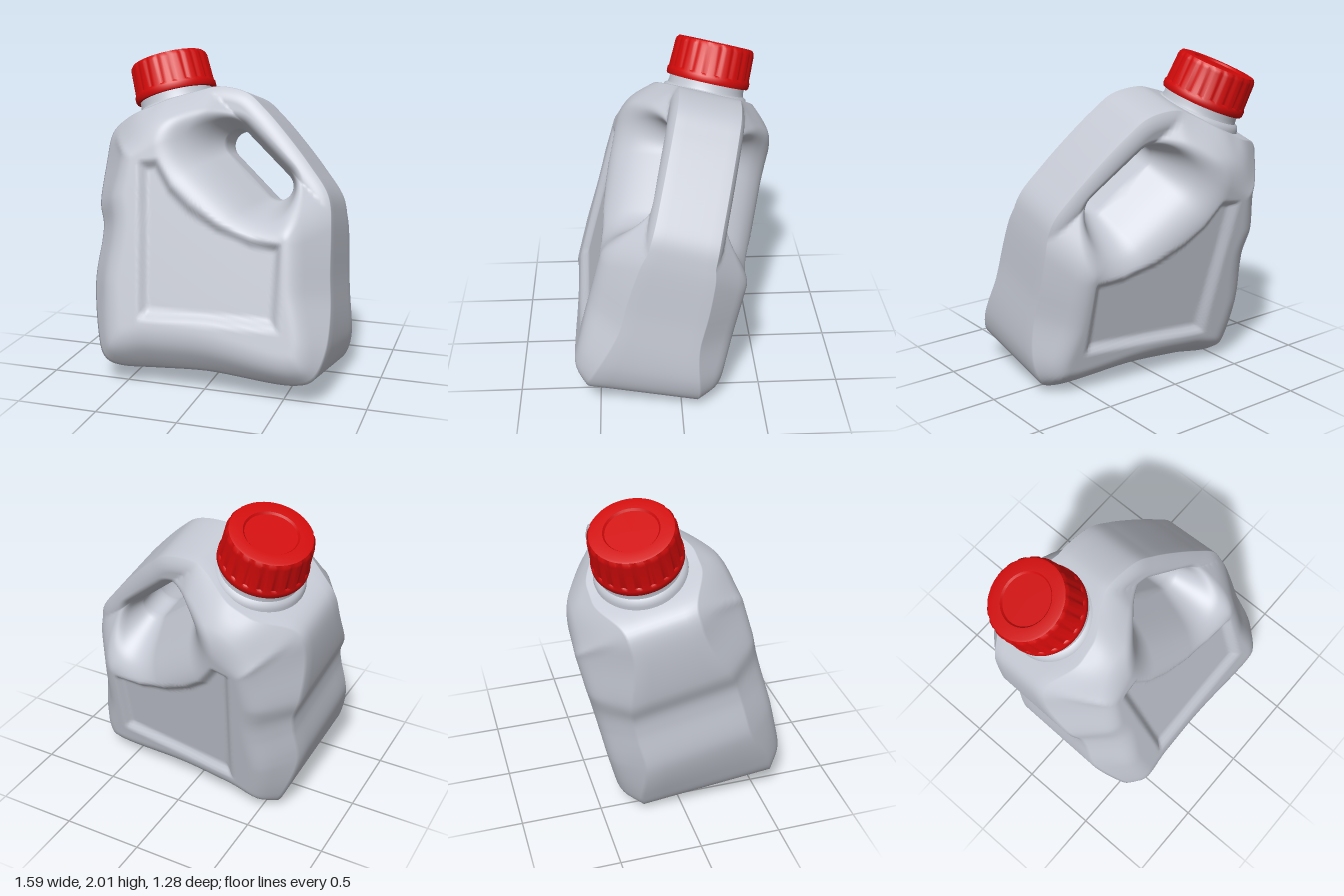
import * as THREE from 'three';
import { toCreasedNormals } from 'three/addons/utils/BufferGeometryUtils.js';

const plastic = new THREE.MeshStandardMaterial({ color: 0xc3c7d1 });
plastic.name = 'pale grey plastic';
const red = new THREE.MeshStandardMaterial({ color: 0xd00a0a });
red.name = 'red plastic';

const V = (x, y) => new THREE.Vector2(x, y);
const { smoothstep, degToRad, clamp } = THREE.MathUtils;

// Side outline of the bottle, clockwise from the lower left
const OUTLINE = [
  [-0.5, 0], [-0.6, 0.04], [-0.67, 0.17], [-0.745, 0.43], [-0.725, 0.7], [-0.728, 0.8],
  [-0.77, 0.94], [-0.775, 1.34], [-0.73, 1.42], [-0.45, 1.55], [-0.18, 1.67], [-0.08, 1.7],
  [0.12, 1.67], [0.25, 1.57], [0.41, 1.41], [0.56, 1.24], [0.68, 1.08], [0.715, 0.95],
  [0.745, 0.6], [0.77, 0.18], [0.71, 0.04], [0.6, 0], [0.05, 0.02],
];
// Recessed label panel
const PANEL = [[-0.44, 1.2], [-0.36, 0.26], [0.51, 0.27], [0.5, 0.77], [0.3, 0.79],
  [0.1, 0.86], [-0.08, 0.96], [-0.2, 1.06], [-0.31, 1.22]].map(([x, y]) => V(x, y));
// Grip hole: a slanted capsule
const HOLE_A = V(0.06, 1.36), HOLE_B = V(0.345, 1.11), HOLE_R = 0.088;
const HOLE_MID = HOLE_A.clone().lerp(HOLE_B, 0.5);
const NECK = V(-0.45, 1.55);
const MID_Z = 0.21;

function segDist(p, a, b) {
  const dx = b.x - a.x, dy = b.y - a.y;
  const t = clamp(((p.x - a.x) * dx + (p.y - a.y) * dy) / (dx * dx + dy * dy), 0, 1);
  return Math.hypot(p.x - a.x - dx * t, p.y - a.y - dy * t);
}
function loopDist(p, loop) {
  let d = Infinity;
  loop.forEach((a, i) => { d = Math.min(d, segDist(p, a, loop[(i + 1) % loop.length])); });
  return d;
}
function inside(p, loop) {
  let hit = false;
  loop.forEach((a, i) => {
    const b = loop[(i + 1) % loop.length];
    if ((a.y > p.y) !== (b.y > p.y) && p.x < a.x + (b.x - a.x) * (p.y - a.y) / (b.y - a.y)) hit = !hit;
  });
  return hit;
}
const holeDist = (p) => segDist(p, HOLE_A, HOLE_B) - HOLE_R;
function softMin(a, b, k) {
  const h = Math.max(k - Math.abs(a - b), 0) / k;
  return Math.min(a, b) - h * h * k / 4;
}

// Half thickness: flat faces, bevelled rim, slim handle, funnel around the grip, sunken panel
function halfDepth(p, loop) {
  const edge = 0.2 + 0.04 * (1 - smoothstep(p.y, 0.6, 1.2)) + 0.1 * (1 - smoothstep(p.y, 0, 0.5))
    + 0.08 * smoothstep(-p.x, 0.3, 0.65) * (1 - smoothstep(p.y, 0.85, 1.3))
    + 0.12 * (1 - smoothstep(p.distanceTo(NECK), 0.05, 0.36));
  const face = 0.502 - 0.02 * p.y - 0.07 * p.x;
  const handle = 0.23 + Math.max(0, 1.1 * (1.2 - 0.65 * p.x - 0.76 * p.y));
  const grip = Math.max(holeDist(p), 0);
  let h = softMin(face, edge + 1.2 * loopDist(p, loop), 0.06);
  h = softMin(h, handle, 0.08);
  h = softMin(h, softMin(0.09 + 2.4 * grip, 0.22 + 1.15 * grip, 0.06), 0.09);
  if (inside(p, PANEL)) h -= 0.04 * smoothstep(loopDist(p, PANEL), 0, 0.06);
  return h;
}

function bodyGeometry() {
  const N = 220, RINGS = 60, WALL = 6;
  const curve = new THREE.CatmullRomCurve3(OUTLINE.map(([x, y]) => new THREE.Vector3(x, y, 0)), true, 'centripetal');
  const loop = curve.getSpacedPoints(N).slice(0, N).map((p) => V(p.x, p.y));
  const pos = [], index = [];
  let M = 0;
  for (const outer of loop) {
    // Matching point on the edge of the hole
    let lo = 0, hi = 1;
    for (let i = 0; i < 24; i++) {
      const m = (lo + hi) / 2;
      if (holeDist(HOLE_MID.clone().lerp(outer, m)) < 0) lo = m; else hi = m;
    }
    const inner = HOLE_MID.clone().lerp(outer, hi);
    // Front half of the section from the hole outward
    const front = [];
    for (let i = 0; i <= RINGS; i++) {
      const p = inner.clone().lerp(outer, i / RINGS);
      front.push([p.x, p.y, halfDepth(p, loop)]);
    }
    const wall = (q, dir) => Array.from({ length: WALL - 1 }, (_, i) =>
      [q[0], q[1], dir * q[2] * (1 - 2 * (i + 1) / WALL)]);
    const back = front.map(([x, y, z]) => [x, y, -z]).reverse();
    const section = [...front, ...wall(front[RINGS], 1), ...back, ...wall(front[0], -1)];
    M = section.length;
    // The base drops slightly toward the front
    section.forEach(([x, y, z]) => pos.push(x, y - 0.09 * (z + 0.3) * (1 - smoothstep(y, 0, 0.4)), z));
  }
  for (let j = 0; j < N; j++) for (let k = 0; k < M; k++) {
    const j1 = (j + 1) % N, k1 = (k + 1) % M;
    const a = j * M + k, b = j1 * M + k, c = j * M + k1, d = j1 * M + k1;
    index.push(a, b, c, b, d, c);
  }
  const g = new THREE.BufferGeometry();
  g.setAttribute('position', new THREE.Float32BufferAttribute(pos, 3));
  g.setIndex(index);
  g.computeVertexNormals();
  return g;
}

// Screw cap: turned profile with shallow grip grooves cut into the wall
function capGeometry() {
  const g = new THREE.LatheGeometry([
    V(0.2, 0), V(0.26, 0), V(0.266, 0.012), V(0.266, 0.04), V(0.26, 0.05), V(0.259, 0.055),
    V(0.253, 0.215), V(0.249, 0.23), V(0.238, 0.245), V(0.225, 0.248), V(0.16, 0.248),
    V(0.15, 0.236), V(0.0001, 0.236),
  ], 120);
  const p = g.attributes.position;
  for (let i = 0; i < p.count; i++) {
    const y = p.getY(i), column = Math.floor(i / 13) % 120;
    if (y > 0.052 && y < 0.232 && column % 6 < 2) {
      p.setX(i, p.getX(i) * 0.975);
      p.setZ(i, p.getZ(i) * 0.975);
    }
  }
  return toCreasedNormals(g, 0.6);
}

// Neck with a collar under the cap
function neckGeometry() {
  return toCreasedNormals(new THREE.LatheGeometry([
    V(0.29, -0.18), V(0.275, -0.085), V(0.262, -0.06), V(0.245, -0.05),
    V(0.24, -0.03), V(0.24, 0.03), V(0.0001, 0.03),
  ], 64), 0.7);
}

function part(name, geometry, material) {
  const mesh = new THREE.Mesh(geometry, material);
  mesh.name = name;
  return mesh;
}

export function createModel() {
  const model = new THREE.Group();
  model.name = 'jug';

  // The whole jug leans backward
  const jug = new THREE.Group();
  jug.name = 'leaningJug';
  jug.rotation.x = degToRad(-14);
  jug.position.y = 0.03;
  model.add(jug);

  // Body turned a little about its upright axis
  const body = part('bodyWithHandle', bodyGeometry(), plastic);
  body.position.z = MID_Z;
  body.rotation.y = degToRad(-3);
  jug.add(body);

  // Spout tilts away from the handle
  const spout = new THREE.Group();
  spout.name = 'spout';
  spout.position.set(-0.425, 1.65, MID_Z - 0.025);
  spout.rotation.z = degToRad(18);
  spout.add(part('neck', neckGeometry(), plastic), part('cap', capGeometry(), red));
  jug.add(spout);

  return model;
}
